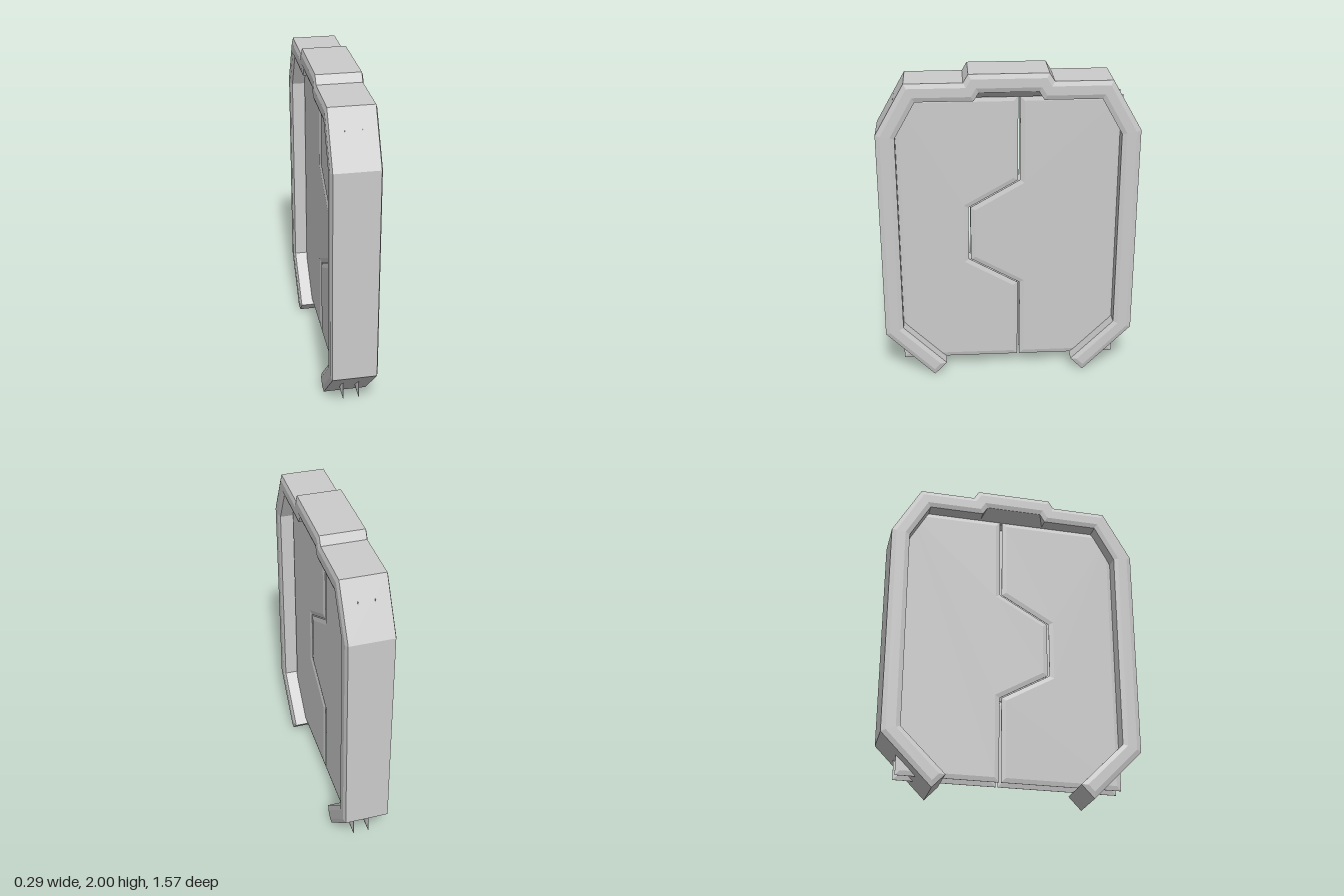
import * as THREE from 'three';

const material = new THREE.MeshStandardMaterial({ color: 0xcccccc, flatShading: true });

// Extrudes a [z, y] outline along x, centred on x, with chamfered rims that stay inside the outline
function slab(name, outline, thickness, chamferWidth, chamferDepth) {
  const shape = new THREE.Shape(outline.map(([z, y]) => new THREE.Vector2(-z, y)));
  const depth = thickness - 2 * chamferDepth;
  const geometry = new THREE.ExtrudeGeometry(shape, {
    depth,
    bevelEnabled: chamferDepth > 0,
    bevelSegments: 1,
    bevelSize: chamferWidth,
    bevelOffset: -chamferWidth,
    bevelThickness: chamferDepth,
  });
  geometry.translate(0, 0, -depth / 2);
  geometry.rotateY(Math.PI / 2);
  const mesh = new THREE.Mesh(geometry, material);
  mesh.name = name;
  return mesh;
}

const mirrorZ = (half) => [...half, ...half.map(([z, y]) => [-z, y]).reverse()];

export function createModel() {
  const model = new THREE.Group();
  model.name = 'slidingDoor';

  // Frame: outer and inner outlines joined at the two slanted feet
  const outer = mirrorZ([
    [0.48, 0], [0.783, 0.308], [0.783, 1.643], [0.607, 1.95], [0.265, 1.95], [0.235, 2],
  ]);
  const inner = mirrorZ([
    [0.402, 0.082], [0.67, 0.35], [0.67, 1.62], [0.545, 1.84], [0.205, 1.84], [0.175, 1.89],
  ]);
  model.add(slab('frame', [...outer, ...inner.reverse()], 0.286, 0.028, 0.01));

  // Lintel block behind the notch, sloping up towards both faces
  const lintelShape = new THREE.Shape([
    [-0.06, 1.84], [0.06, 1.84], [0.132, 1.892], [-0.132, 1.892],
  ].map(([x, y]) => new THREE.Vector2(x, y)));
  const lintelGeometry = new THREE.ExtrudeGeometry(lintelShape, { depth: 0.42, bevelEnabled: false });
  lintelGeometry.translate(0, 0, -0.21);
  const lintel = new THREE.Mesh(lintelGeometry, material);
  lintel.name = 'lintelNotch';
  model.add(lintel);

  // Door leaves: a stepped seam, each leaf made of two thin skins
  const bottom = 0.083, top = 1.84;
  const seam = (gap) => [
    [-0.066 + gap, bottom], [-0.066 + gap, 0.61], [0.238 + gap, 0.785],
    [0.238 + gap, 1.135], [-0.066 + gap, 1.31], [-0.066 + gap, top],
  ];
  const leaves = {
    frontLeaf: [[0.675, bottom], ...seam(0.006), [0.675, top]],
    backLeaf: [[-0.68, bottom], ...seam(-0.006), [-0.68, top]],
  };
  for (const [name, outline] of Object.entries(leaves)) {
    const leaf = new THREE.Group();
    leaf.name = name;
    for (const side of [-1, 1]) {
      const skin = slab(side > 0 ? 'leftSkin' : 'rightSkin', outline, 0.016, 0.028, 0.007);
      skin.position.x = side * 0.048;
      leaf.add(skin);
    }
    model.add(leaf);
  }

  return model;
}
